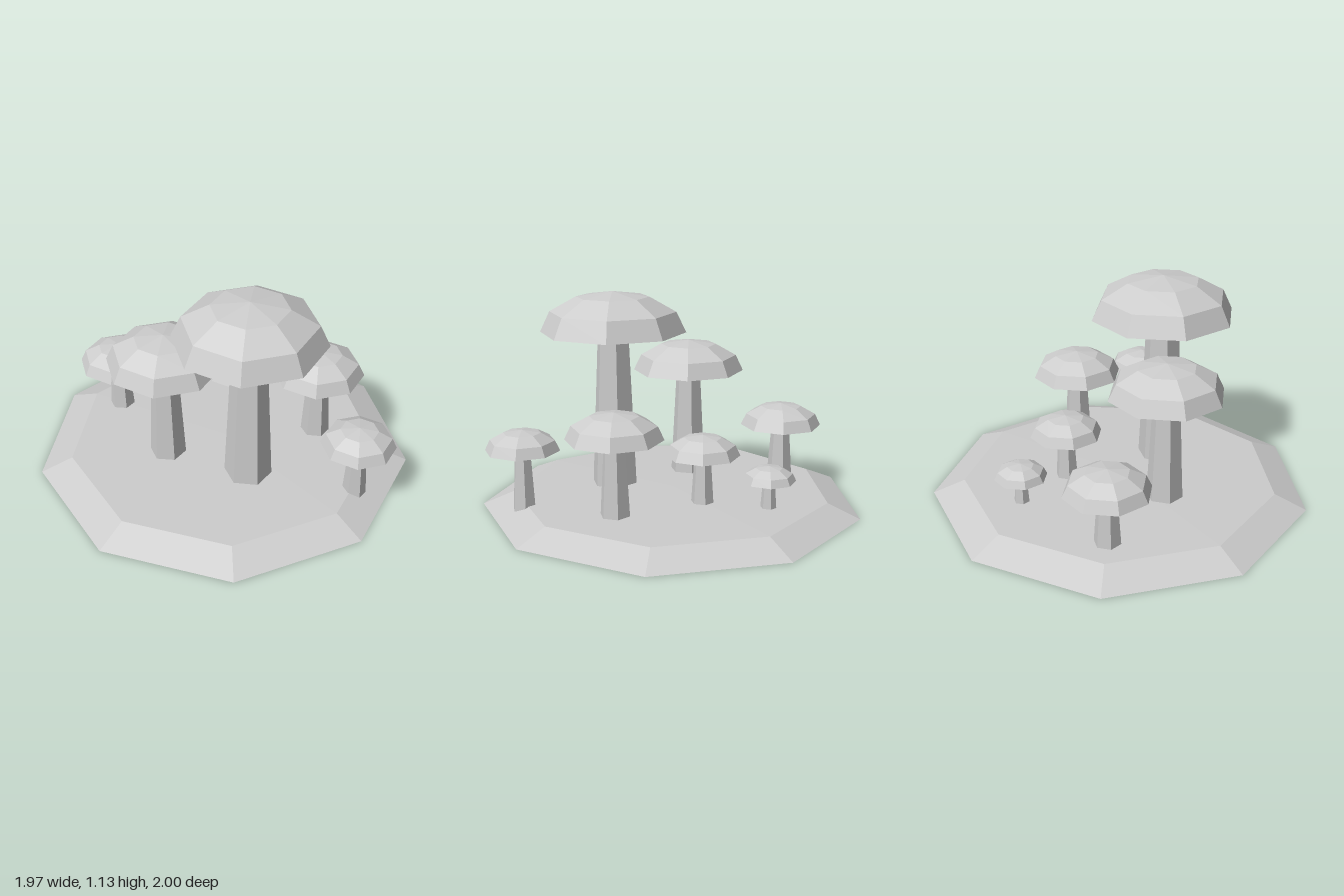
import * as THREE from 'three';

const lightGrey = new THREE.MeshStandardMaterial({ color: 0xcccccc, flatShading: true });
lightGrey.name = 'lightGrey';

// Faceted solid of revolution with one corner on the +x axis
function turned(name, profile, sides) {
  const points = profile.map(([r, y]) => new THREE.Vector2(r, y));
  const mesh = new THREE.Mesh(new THREE.LatheGeometry(points, sides, Math.PI / 2), lightGrey);
  mesh.name = name;
  return mesh;
}

// Mushroom: tapered six-sided stem under a flattened eight-sided half dome
function mushroom(name, x, z, radius, rimY) {
  const group = new THREE.Group();
  group.name = name;
  group.position.set(x, 0, z);

  const stem = turned('stem', [
    [0, 0.02], [radius * 0.33, 0.02], [radius * 0.222, rimY], [0, rimY],
  ], 6);

  const profile = [[0, -0.08 * radius]];
  for (let i = 0; i <= 3; i++) {
    const a = (i * Math.PI) / 6;
    profile.push([i === 3 ? 0 : radius * Math.cos(a), 0.56 * radius * Math.sin(a)]);
  }
  const cap = turned('cap', profile, 8);
  cap.position.y = rimY;

  group.add(stem, cap);
  return group;
}

export function createModel() {
  const model = new THREE.Group();
  model.name = 'mushroomPatch';

  // Nine-sided mound with a sloped edge and a slightly raised middle
  const ground = turned('ground', [[0, 0], [1.015, 0], [0.845, 0.071], [0, 0.084]], 9);
  ground.position.x = -0.03;
  model.add(ground);

  // name, x, z, cap radius, cap rim height
  const patch = [
    ['tallMushroom', 0.135, 0.28, 0.39, 0.912],
    ['leaningNeighbourMushroom', -0.315, 0.165, 0.305, 0.66],
    ['mediumMushroom', 0.47, -0.12, 0.247, 0.466],
    ['sideMushroom', -0.655, -0.23, 0.222, 0.357],
    ['edgeMushroom', 0.70, 0.335, 0.193, 0.36],
    ['backMushroom', 0.02, -0.285, 0.193, 0.33],
    ['tinyMushroom', -0.175, -0.567, 0.138, 0.217],
  ];
  for (const entry of patch) model.add(mushroom(...entry));

  return model;
}
